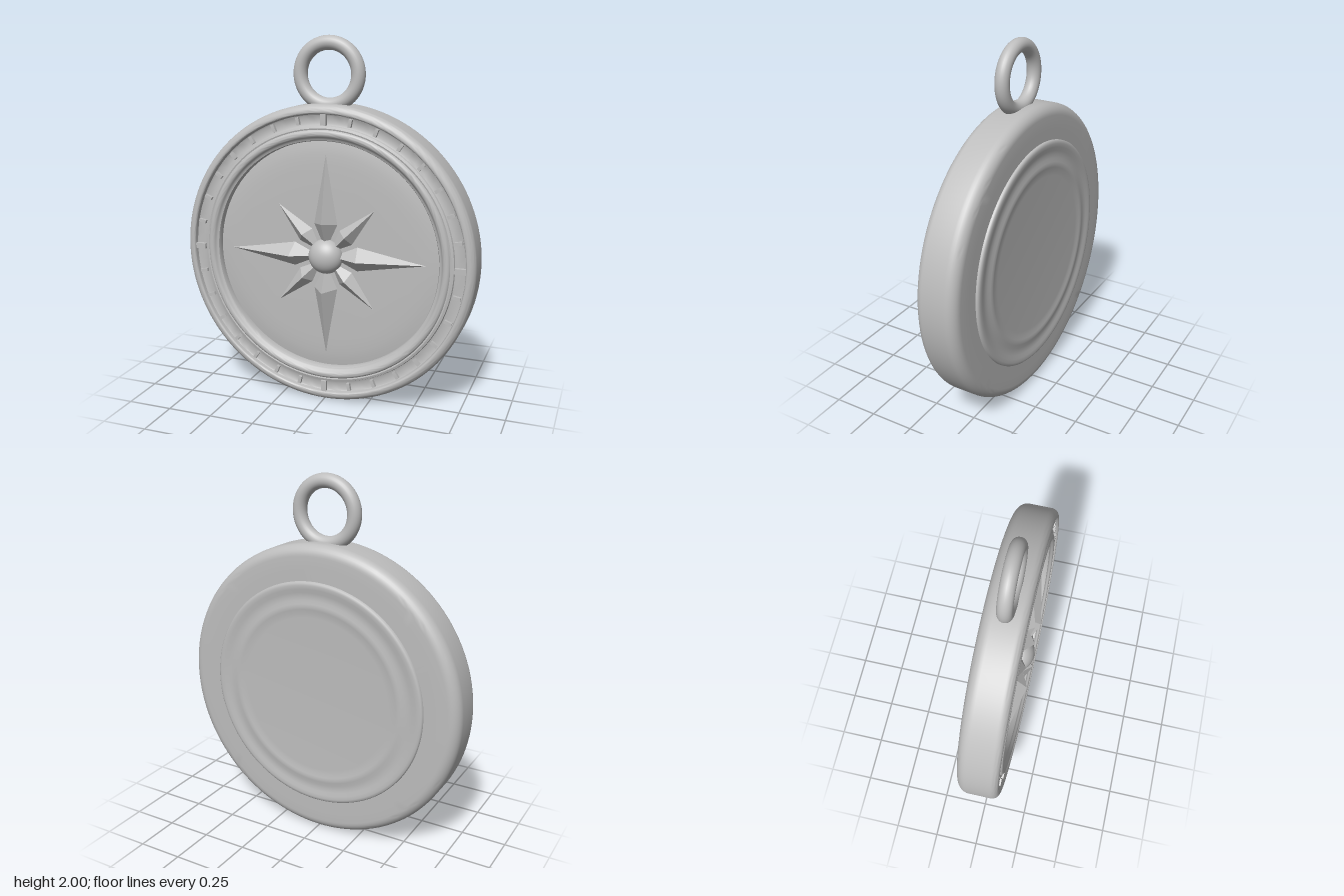
import * as THREE from 'three';
import { toCreasedNormals } from 'three/addons/utils/BufferGeometryUtils.js';

const CY = 0.826; // height of the disc centre

// Points along an arc in the (radius, depth) plane, angles in degrees
function arc(r, z, rr, rz, from, to, n = 8) {
  const pts = [];
  for (let i = 0; i <= n; i++) {
    const a = THREE.MathUtils.degToRad(from + ((to - from) * i) / n);
    pts.push([r + rr * Math.cos(a), z + rz * Math.sin(a)]);
  }
  return pts;
}

// Turned part whose axis points to the front
function turned(points, crease = 0.6) {
  const geo = new THREE.LatheGeometry(points.map(([r, z]) => new THREE.Vector2(r, z)), 128);
  geo.rotateX(Math.PI / 2);
  return toCreasedNormals(geo, crease);
}

// Faceted compass arm along +y: kite outline with a raised ridge
function armGeometry(tip, waist, halfWidth, base, peak) {
  const inner = [0, 0.03, base];
  const left = [-halfWidth, waist, base];
  const right = [halfWidth, waist, base];
  const end = [0, tip, base];
  const top = [0, waist + 0.012, peak];
  const tris = [top, right, end, top, end, left, top, left, inner, top, inner, right];
  const geo = new THREE.BufferGeometry();
  geo.setAttribute('position', new THREE.Float32BufferAttribute(tris.flat(), 3));
  geo.computeVertexNormals();
  return geo;
}

export function createModel() {
  const model = new THREE.Group();
  model.name = 'compassPendant';
  const metal = new THREE.MeshStandardMaterial({ color: 0xbdbdbd });
  metal.name = 'grey metal';

  const disc = new THREE.Group();
  disc.name = 'disc';
  disc.position.y = CY;
  model.add(disc);

  function add(parent, name, geo) {
    const mesh = new THREE.Mesh(geo, metal);
    mesh.name = name;
    parent.add(mesh);
    return mesh;
  }

  // Case with rounded rim, tick channel, raised bead and recessed dial
  add(disc, 'case', turned([
    [0, -0.12], [0.6, -0.12], [0.7, -0.12],
    ...arc(0.765, -0.06, 0.06, 0.06, -90, 0),
    ...arc(0.785, 0.065, 0.04, 0.042, 0, 90),
    ...arc(0.785, 0.097, 0.01, 0.01, 90, 180, 4),
    [0.772, 0.08], [0.765, 0.076], [0.728, 0.076], [0.716, 0.08],
    [0.712, 0.09], [0.7, 0.094],
    ...arc(0.672, 0.085, 0.022, 0.02, 20, 160),
    [0.645, 0.086], [0.636, 0.083], [0.632, 0.075], [0.632, 0.045],
    [0.6, 0.05], [0.56, 0.054], [0.5, 0.056], [0.4, 0.057], [0, 0.057],
  ]));

  // Raised back plate with a soft ring and shallow dished middle
  add(disc, 'backPlate', turned([
    [0, -0.127], [0.44, -0.127], [0.465, -0.128], [0.485, -0.132], [0.5, -0.134],
    [0.515, -0.132], [0.535, -0.128], [0.555, -0.127], [0.575, -0.129],
    [0.595, -0.134], [0.615, -0.136], [0.628, -0.134], [0.634, -0.128], [0.635, -0.11],
  ], 0.9));

  // Ticks around the channel, with larger ones at the four quarters
  const ticks = new THREE.Group();
  ticks.name = 'ticks';
  disc.add(ticks);
  const minorTick = new THREE.BoxGeometry(0.018, 0.042, 0.03);
  const majorTick = new THREE.BoxGeometry(0.03, 0.06, 0.036);
  for (let i = 0; i < 32; i++) {
    const a = (i * Math.PI) / 16;
    const tick = add(ticks, 'tick', i % 8 === 0 ? majorTick : minorTick);
    tick.position.set(Math.sin(a) * 0.745, Math.cos(a) * 0.745, 0.08);
    tick.rotation.z = -a;
  }

  // Eight-pointed star: long arms on the quarters, short arms between
  const star = new THREE.Group();
  star.name = 'compassStar';
  disc.add(star);
  const longArm = armGeometry(0.558, 0.18, 0.068, 0.055, 0.13);
  const shortArm = armGeometry(0.396, 0.16, 0.052, 0.055, 0.108);
  for (let i = 0; i < 8; i++) {
    const arm = add(star, i % 2 ? 'shortArm' : 'longArm', i % 2 ? shortArm : longArm);
    arm.rotation.z = (i * Math.PI) / 4;
  }

  // Domed hub
  const hub = new THREE.SphereGeometry(0.097, 48, 16, 0, Math.PI * 2, 0, Math.PI / 2);
  hub.rotateX(Math.PI / 2);
  hub.scale(1, 1, 0.78);
  add(star, 'hub', hub).position.z = 0.055;

  // Hanging ring
  const ring = add(model, 'hangingRing', new THREE.TorusGeometry(0.161, 0.038, 24, 72));
  ring.position.set(0, 1.801, 0.003);

  return model;
}
